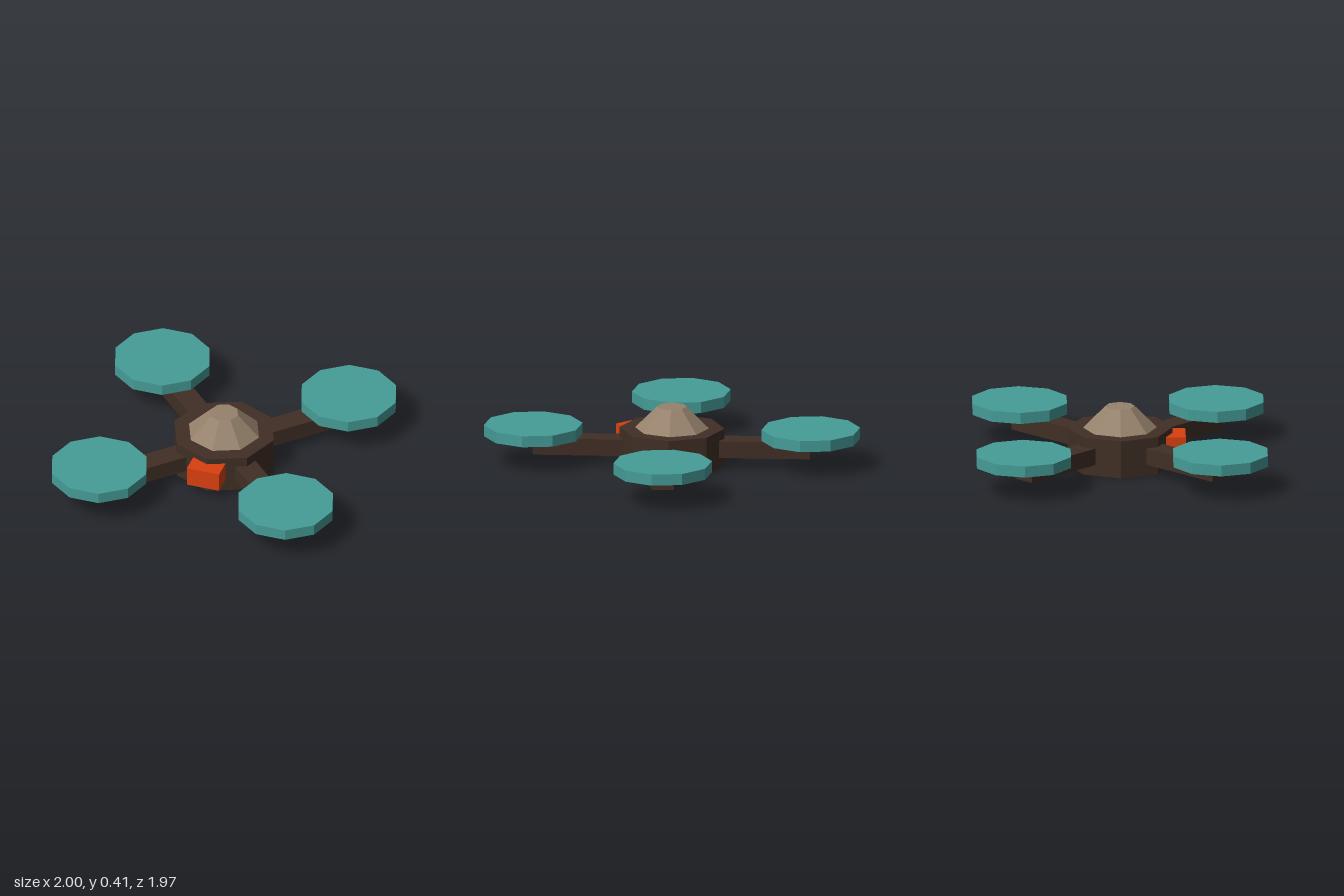
import * as THREE from 'three';

const material = (name, color) => {
  const m = new THREE.MeshStandardMaterial({ color, flatShading: true });
  m.name = name;
  return m;
};

export function createModel() {
  const model = new THREE.Group();
  model.name = 'quadcopter';

  const brown = material('dark brown', 0x402f25);
  const tan = material('tan', 0x96826c);
  const teal = material('teal', 0x459c97);
  const orange = material('orange', 0xd84010);

  const add = (name, geometry, mat, x, y, z) => {
    const mesh = new THREE.Mesh(geometry, mat);
    mesh.name = name;
    mesh.position.set(x, y, z);
    model.add(mesh);
    return mesh;
  };

  // Octagonal hull with a tapered canopy
  add('body', new THREE.CylinderGeometry(0.355, 0.355, 0.26, 8), brown, 0, 0.13, 0);
  add('canopy', new THREE.CylinderGeometry(0.1, 0.25, 0.15, 8), tan, 0, 0.335, 0);

  // Camera block on the nose
  add('camera', new THREE.BoxGeometry(0.23, 0.135, 0.23), orange, 0, 0.1525, 0.328);

  // Crossed arms, each running from rotor to rotor through the hull
  const armGeometry = new THREE.BoxGeometry(1.88, 0.115, 0.156);
  for (const side of [-1, 1]) {
    add(side < 0 ? 'armFrontLeftToBackRight' : 'armFrontRightToBackLeft',
      armGeometry, brown, 0, 0.1335, 0).rotation.y = side * Math.PI / 4;
  }

  // Ten-sided rotor discs, with corners pointing along x
  const rotorGeometry = new THREE.CylinderGeometry(0.335, 0.335, 0.077, 10).rotateY(Math.PI / 2);
  for (const x of [-1, 1]) {
    for (const z of [-1, 1]) {
      const name = `rotor${z > 0 ? 'Front' : 'Back'}${x > 0 ? 'Left' : 'Right'}`;
      add(name, rotorGeometry, teal, x * 0.665, 0.2315, z * 0.665);
    }
  }

  return model;
}
